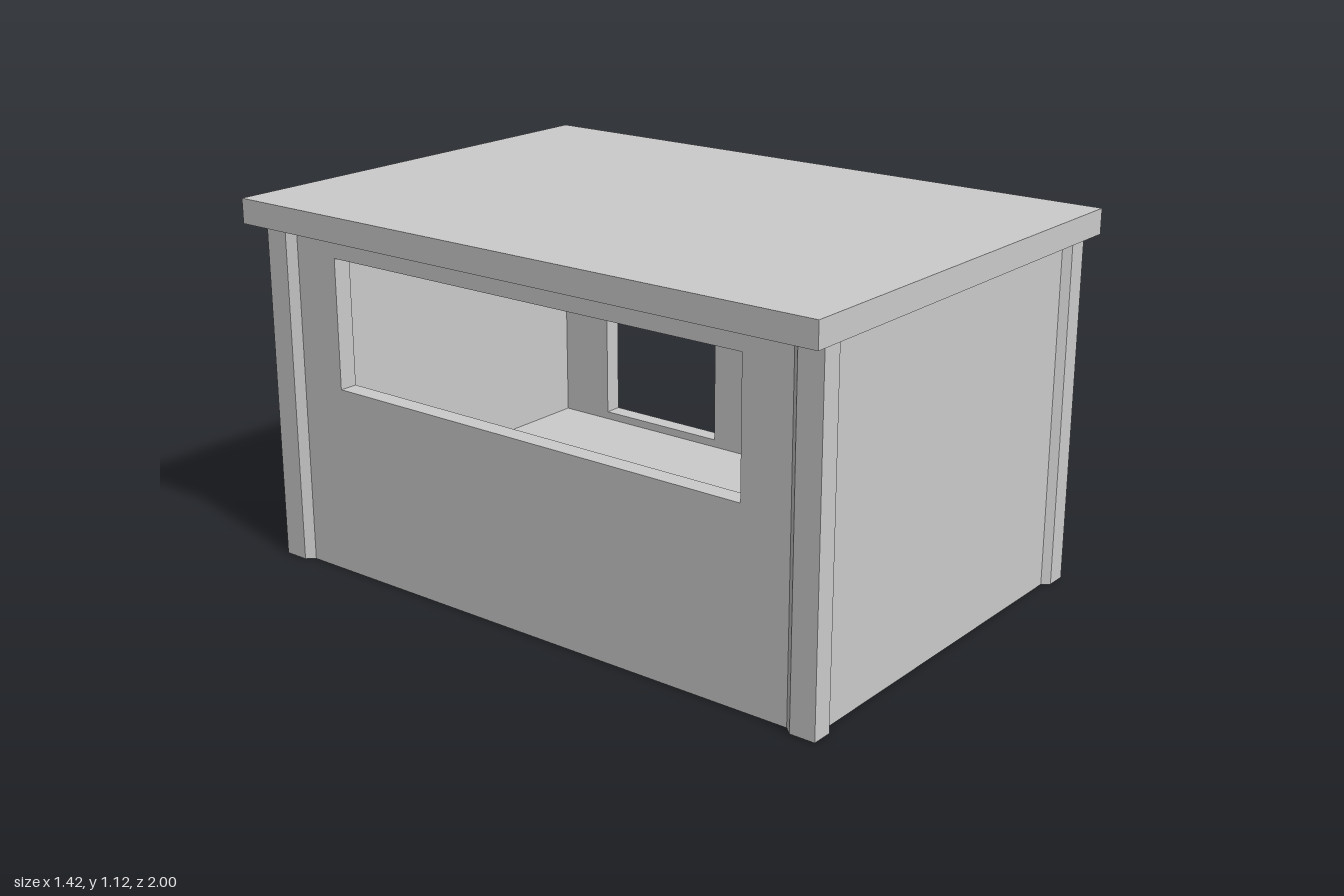
import * as THREE from 'three';

const HX = 0.628, HZ = 0.953;   // outer half sizes of the walls
const T = 0.057;                // wall thickness
const H = 1.045;                // wall height
const FLOOR = 0.157;

const material = new THREE.MeshStandardMaterial({ color: 0xcccccc, flatShading: true });

function add(parent, name, geometry, x = 0, y = 0, z = 0) {
  const mesh = new THREE.Mesh(geometry, material);
  mesh.name = name;
  mesh.position.set(x, y, z);
  parent.add(mesh);
  return mesh;
}

function polygon(points) {
  return new THREE.Shape(points.map(([x, y]) => new THREE.Vector2(x, y)));
}

function rect(x0, y0, x1, y1) {
  return [[x0, y0], [x1, y0], [x1, y1], [x0, y1]];
}

// Long side wall with one window, drawn in (z, y) and turned so it thickens towards -x
function sideWall(window) {
  const shape = polygon(rect(-HZ, 0, HZ, H));
  shape.holes.push(polygon(rect(...window).reverse()));
  const geometry = new THREE.ExtrudeGeometry(shape, { depth: T, bevelEnabled: false });
  return geometry.rotateY(-Math.PI / 2);
}

// Corner trim: L-shaped in plan, wrapped round the wall corner, with splayed edges
function cornerPost(sx, sz) {
  const plan = [
    [0.65, 0.975], [0.585, 0.975], [0.567, HZ],
    [HX, HZ], [HX, 0.874], [0.65, 0.898],
  ].map(([x, z]) => [x * sx, -z * sz]);
  const geometry = new THREE.ExtrudeGeometry(polygon(plan), { depth: H, bevelEnabled: false });
  return geometry.rotateX(-Math.PI / 2);
}

export function createModel() {
  const model = new THREE.Group();
  model.name = 'hut';

  // Flat overhanging roof
  add(model, 'roof', new THREE.BoxGeometry(1.416, 0.075, 2), 0, H + 0.0375, 0);

  // Body sits very slightly off the roof centre
  const body = new THREE.Group();
  body.name = 'body';
  body.position.x = 0.0075;
  model.add(body);

  // Raised floor slab between the walls
  add(body, 'floor', new THREE.BoxGeometry(2 * (HX - T), FLOOR, 2 * (HZ - T)), 0, FLOOR / 2, 0);

  // Side walls: tall window on the left, wide serving window on the right
  add(body, 'leftWall', sideWall([-0.716, 0.182, -0.26, 0.968]), HX);
  add(body, 'rightWall', sideWall([-0.72, 0.574, 0.72, 0.968]), -HX + T);

  // Plain end walls
  for (const [name, s] of [['frontWall', 1], ['backWall', -1]]) {
    add(body, name, new THREE.BoxGeometry(2 * (HX - T), H, T), 0, H / 2, s * (HZ - T / 2));
  }

  // Corner posts
  for (const sx of [-1, 1]) {
    for (const sz of [-1, 1]) {
      add(body, (sz > 0 ? 'front' : 'back') + (sx > 0 ? 'Left' : 'Right') + 'Post', cornerPost(sx, sz));
    }
  }
  return model;
}
